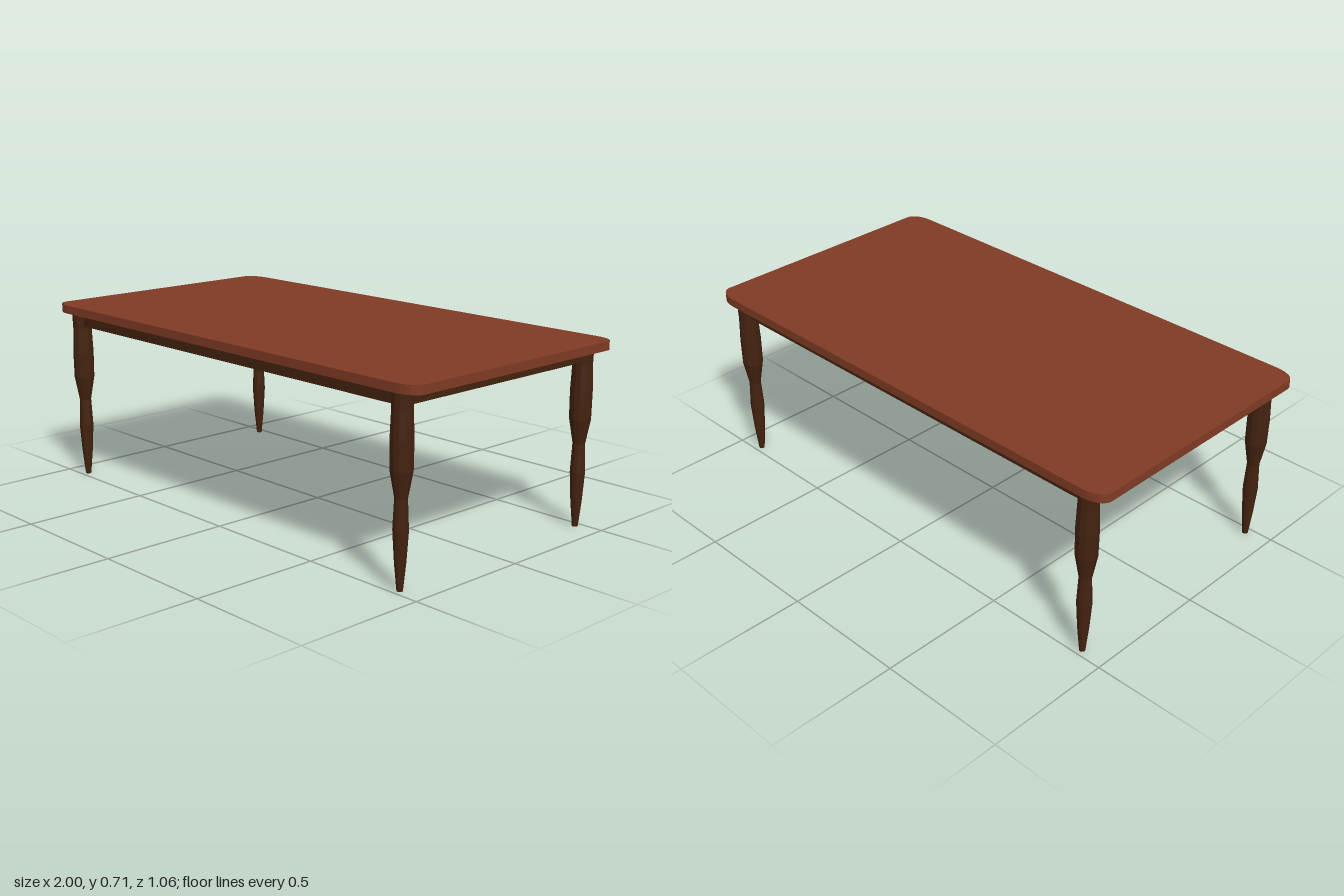
import * as THREE from 'three';

// Horizontal slab with elliptical rounded corners, from y0 up by h
function slab(hx, hz, rx, rz, y0, h) {
  const s = new THREE.Shape();
  const corners = [[1, 1, 0], [-1, 1, 1], [-1, -1, 2], [1, -1, 3]];
  corners.forEach(([sx, sz, q], i) => {
    for (let k = 0; k <= 6; k++) {
      const a = (q + k / 6) * Math.PI / 2;
      const x = sx * (hx - rx) + rx * Math.cos(a);
      const z = sz * (hz - rz) + rz * Math.sin(a);
      if (i === 0 && k === 0) s.moveTo(x, z);
      else s.lineTo(x, z);
    }
  });
  const g = new THREE.ExtrudeGeometry(s, { depth: h, bevelEnabled: false });
  g.rotateX(-Math.PI / 2);
  g.translate(0, y0, 0);
  return g;
}

export function createModel() {
  const topWood = new THREE.MeshStandardMaterial({ color: 0x803b24 });
  topWood.name = 'reddish wood';
  const darkWood = new THREE.MeshStandardMaterial({ color: 0x44230f, flatShading: true });
  darkWood.name = 'dark wood';

  const table = new THREE.Group();
  table.name = 'table';
  const add = (geometry, material, name) => {
    const mesh = new THREE.Mesh(geometry, material);
    mesh.name = name;
    table.add(mesh);
    return mesh;
  };

  // Table top and the solid apron slab below it
  add(slab(1, 0.53, 0.085, 0.05, 0.682, 0.033), topWood, 'tableTop');
  add(slab(0.92, 0.488, 0.078, 0.046, 0.631, 0.052), darkWood, 'apron');

  // Turned legs: radius and height pairs
  const profile = [
    [0, 0], [0.011, 0], [0.021, 0.1], [0.028, 0.21], [0.023, 0.32],
    [0.04, 0.415], [0.041, 0.52], [0.037, 0.62], [0.039, 0.683], [0, 0.683],
  ].map(([r, y]) => new THREE.Vector2(r, y));
  const legGeometry = new THREE.LatheGeometry(profile, 12);
  for (const [sz, end] of [[1, 'front'], [-1, 'back']]) {
    for (const [sx, side] of [[1, 'Left'], [-1, 'Right']]) {
      add(legGeometry, darkWood, `${end}${side}Leg`).position.set(sx * 0.9, 0, sz * 0.472);
    }
  }
  return table;
}
